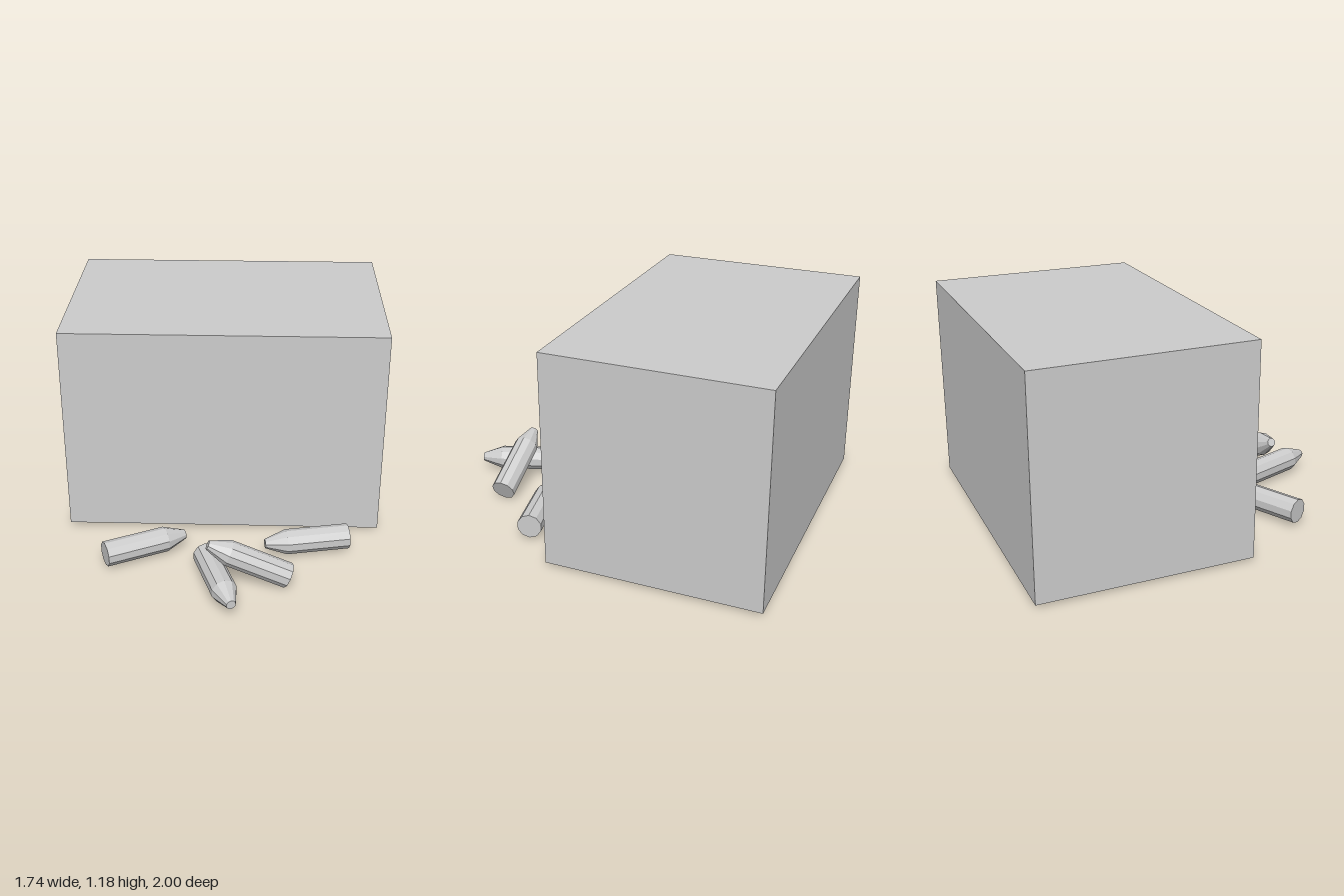
import * as THREE from 'three';

const material = new THREE.MeshStandardMaterial({ color: 0xcccccc, flatShading: true });

// Blunt-tipped ten-sided stick lying along local +y, base at the origin
const LENGTH = 0.461;
const profile = [[0, 0], [0.068, 0], [0.068, 0.345], [0.025, LENGTH], [0, LENGTH]]
  .map(([r, y]) => new THREE.Vector2(r, y));
const stickGeometry = new THREE.LatheGeometry(profile, 10);

// Place a stick from its base centre towards its tip, with one ridge on top
function stick(name, base, tip) {
  const start = new THREE.Vector3(...base);
  const along = new THREE.Vector3(...tip).sub(start).normalize();
  const side = new THREE.Vector3().crossVectors(along, new THREE.Vector3(0, 1, 0)).normalize();
  const up = new THREE.Vector3().crossVectors(side, along);
  const mesh = new THREE.Mesh(stickGeometry, material);
  mesh.name = name;
  mesh.quaternion.setFromRotationMatrix(new THREE.Matrix4().makeBasis(side, along, up));
  mesh.position.copy(start);
  return mesh;
}

export function createModel() {
  const group = new THREE.Group();
  group.name = 'boxWithSticks';

  // Large plain box
  const box = new THREE.Mesh(new THREE.BoxGeometry(1.742, 1.167, 1.165), material);
  box.name = 'box';
  box.position.set(0, 0.602, -0.417);
  group.add(box);

  // Three sticks on the ground, and one leaning across another
  const y = 0.087;
  group.add(
    stick('rightStick', [-0.617, y, 0.572], [-0.207, y, 0.368]),
    stick('leftStick', [0.687, y, 0.355], [0.234, y, 0.447]),
    stick('middleStick', [-0.083, y, 0.552], [0.067, y, 0.988]),
    stick('leaningStick', [0.357, 0.064, 0.699], [-0.064, 0.256, 0.713]),
  );
  return group;
}
